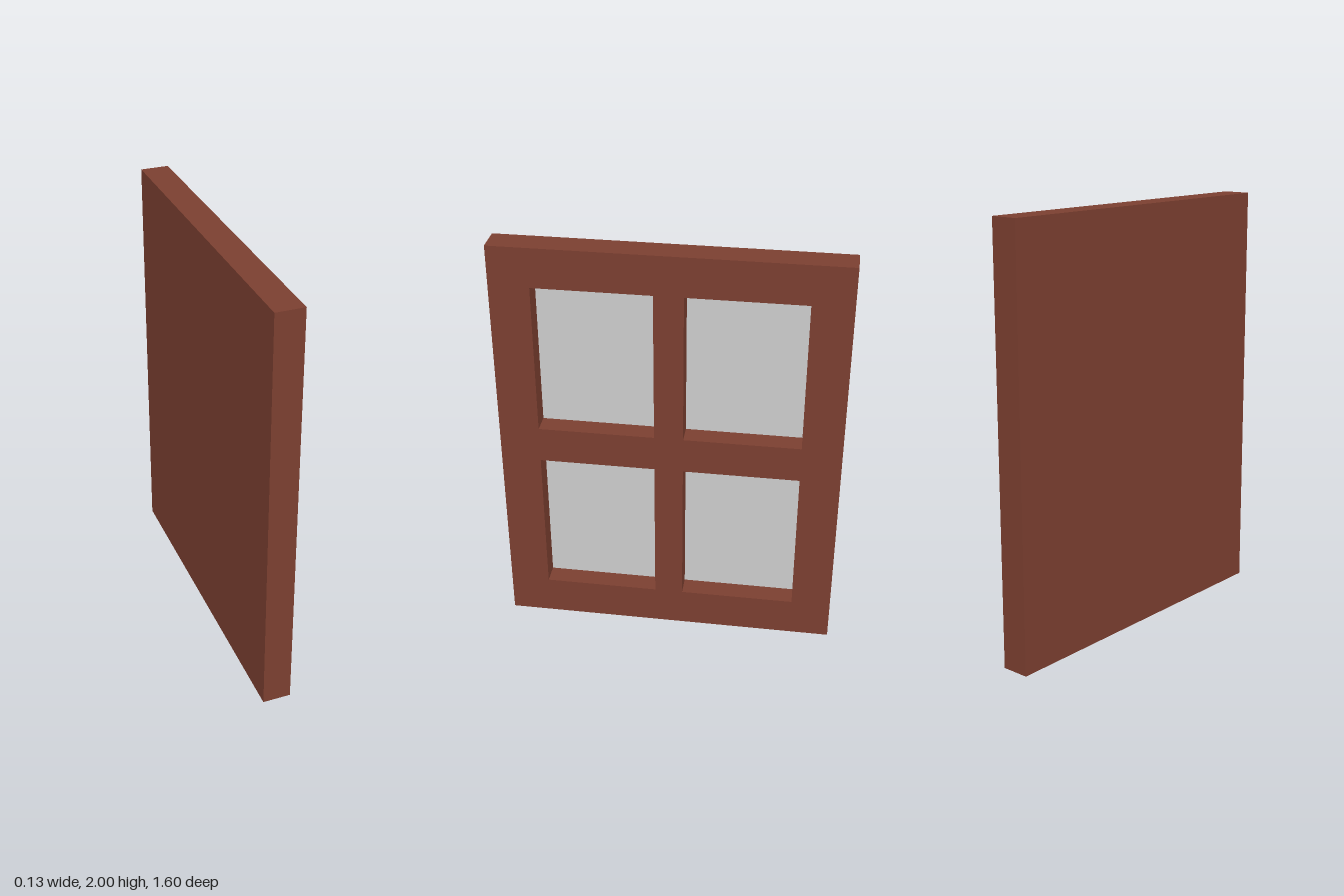
import * as THREE from 'three';

const HEIGHT = 2, WIDTH = 1.6, THICK = 0.133, RECESS = 0.1;
const PANE_W = 0.545, PANE_H = 0.724;
const PANE_Z = 0.34, PANE_Y = [0.552, 1.45];

export function createModel() {
  const group = new THREE.Group();
  const wood = new THREE.MeshStandardMaterial({ color: 0x7b3f30 });
  const glass = new THREE.MeshStandardMaterial({ color: 0xcccccc });
  const add = (name, geometry, material, x, y, z) => {
    const mesh = new THREE.Mesh(geometry, material);
    mesh.name = name;
    mesh.position.set(x, y, z);
    group.add(mesh);
  };
  const rect = (Type, x, y, w, h) => new Type([
    new THREE.Vector2(x - w / 2, y - h / 2), new THREE.Vector2(x + w / 2, y - h / 2),
    new THREE.Vector2(x + w / 2, y + h / 2), new THREE.Vector2(x - w / 2, y + h / 2),
  ]);

  // Frame with four openings, facing +x
  const floorX = THICK / 2 - RECESS;
  const outline = rect(THREE.Shape, 0, HEIGHT / 2, WIDTH, HEIGHT);
  const paneGeometry = new THREE.PlaneGeometry(PANE_W, PANE_H).rotateY(Math.PI / 2);
  for (const y of PANE_Y) {
    for (const side of [-1, 1]) {
      outline.holes.push(rect(THREE.Path, side * PANE_Z, y, PANE_W, PANE_H));
      // Pane at the bottom of each recess
      add('pane', paneGeometry, glass, floorX + 0.001, y, side * PANE_Z);
    }
  }
  const frame = new THREE.ExtrudeGeometry(outline, { depth: RECESS, bevelEnabled: false });
  add('frame', frame.rotateY(Math.PI / 2), wood, floorX, 0, 0);

  // Solid backing board
  const backDepth = THICK - RECESS;
  add('backPanel', new THREE.BoxGeometry(backDepth, HEIGHT, WIDTH), wood,
    floorX - backDepth / 2, HEIGHT / 2, 0);

  return group;
}
